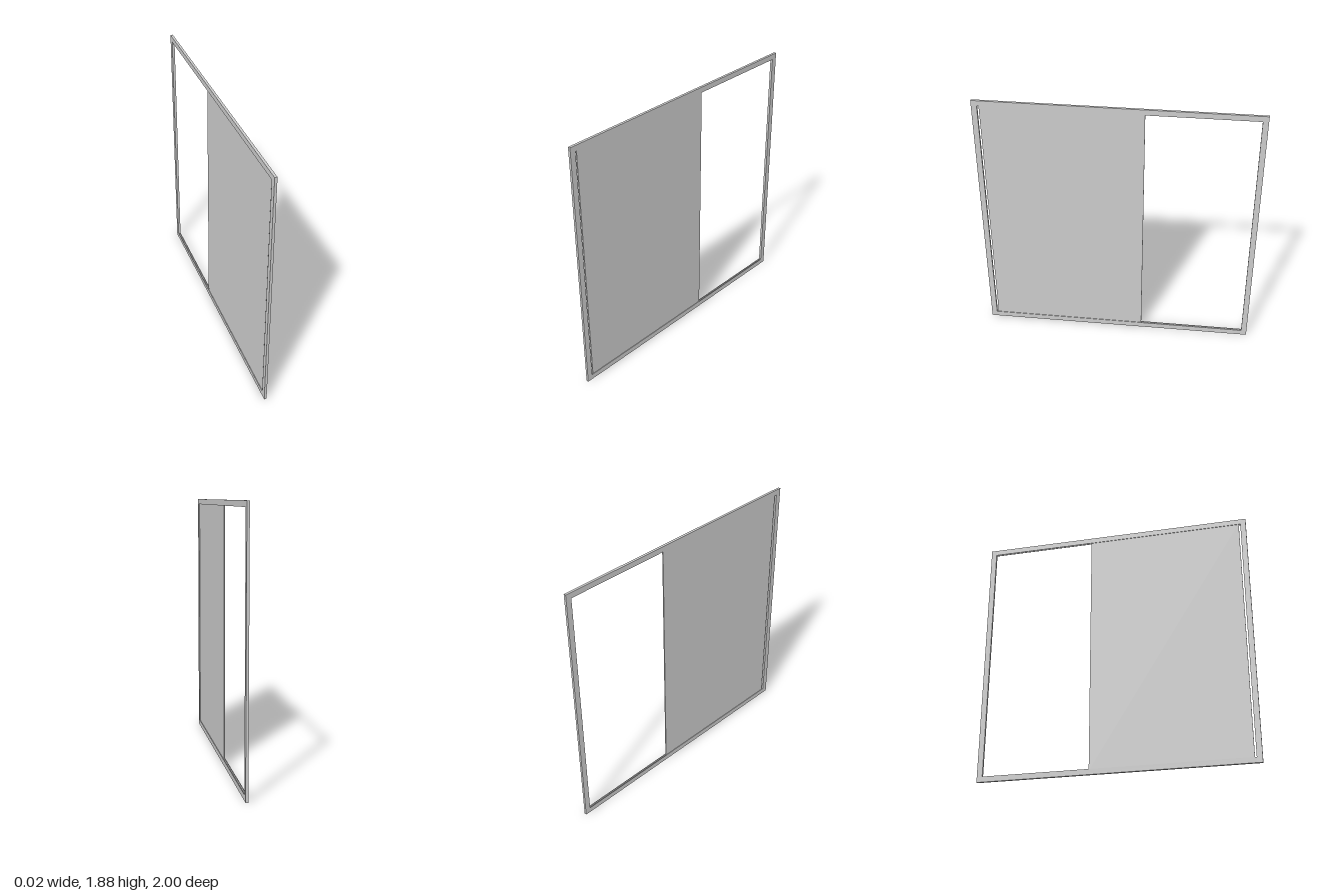
import * as THREE from 'three';

export function createModel() {
  const group = new THREE.Group();
  const mat = new THREE.MeshStandardMaterial({ color: 0xcccccc, flatShading: true });
  const H = 1.885, W = 0.04, T = 0.018;      // frame height, bar width, depth
  const groove = 0.01, grooveDepth = 0.015;  // sliding track in the rails

  const box = (name, sx, sy, sz, x, y, z) => {
    const mesh = new THREE.Mesh(new THREE.BoxGeometry(sx, sy, sz), mat);
    mesh.name = name;
    mesh.position.set(x, y, z);
    group.add(mesh);
  };

  // Upright jambs at both ends
  for (const s of [1, -1]) {
    box(s > 0 ? 'frontJamb' : 'backJamb', T, H, W, 0, H / 2, s * (1 - W / 2));
  }

  // Rails with a U-shaped cross-section, extruded between the jambs
  const a = T / 2, g = groove / 2, d = W - grooveDepth;
  const section = new THREE.Shape([
    [-a, 0], [a, 0], [a, W], [g, W], [g, d], [-g, d], [-g, W], [-a, W],
  ].map(([x, y]) => new THREE.Vector2(x, y)));
  const length = 2 - 2 * W;
  const railGeometry = new THREE.ExtrudeGeometry(section, { depth: length, bevelEnabled: false });
  railGeometry.translate(0, 0, -length / 2);
  for (const top of [false, true]) {
    const rail = new THREE.Mesh(railGeometry, mat);
    rail.name = top ? 'topRail' : 'bottomRail';
    if (top) {
      rail.rotation.z = Math.PI;
      rail.position.y = H;
    }
    group.add(rail);
  }

  // Sliding panel, held in the tracks, with a thin gap at the front jamb
  const z0 = -0.185, z1 = 0.948, inset = 0.01;
  box('slidingPanel', 0.008, H - 2 * W + 2 * inset, z1 - z0, 0, H / 2, (z0 + z1) / 2);

  return group;
}
